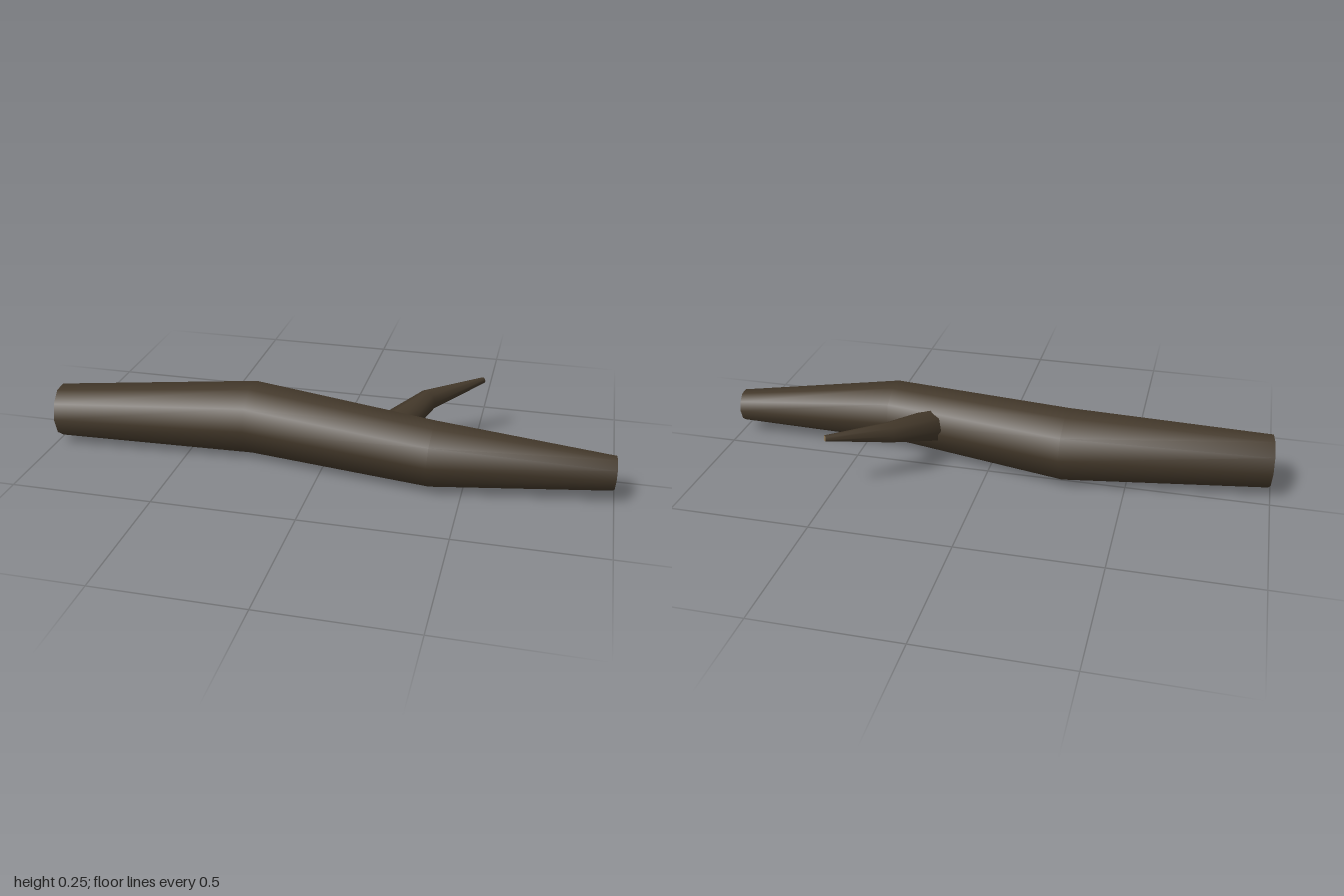
import * as THREE from 'three';

const UP = new THREE.Vector3(0, 1, 0);

// Rings of points along a bent path; each stop is [x, y, z, radius]
function makeRings(stops, sides) {
  const pts = stops.map(([x, y, z]) => new THREE.Vector3(x, y, z));
  const dirs = pts.slice(1).map((p, i) => p.clone().sub(pts[i]).normalize());
  return stops.map((stop, i) => {
    const t = new THREE.Vector3()
      .add(dirs[Math.max(i - 1, 0)])
      .add(dirs[Math.min(i, dirs.length - 1)])
      .normalize();
    const side = UP.clone().cross(t).normalize();
    const up = t.clone().cross(side);
    return Array.from({ length: sides }, (_, j) => {
      const a = (j / sides) * Math.PI * 2;
      return pts[i].clone()
        .addScaledVector(side, Math.cos(a) * stop[3])
        .addScaledVector(up, Math.sin(a) * stop[3]);
    });
  });
}

function build(points, index) {
  const g = new THREE.BufferGeometry().setFromPoints(points);
  g.setIndex(index);
  g.computeVertexNormals();
  return g;
}

// Smooth bark skin joining the rings
function skin(rings) {
  const n = rings[0].length;
  const index = [];
  for (let i = 0; i < rings.length - 1; i++) {
    for (let j = 0; j < n; j++) {
      const k = (j + 1) % n;
      const a = i * n + j, b = i * n + k, c = a + n, d = b + n;
      index.push(a, b, c, b, d, c);
    }
  }
  return build(rings.flat(), index);
}

// Flat cut face across one ring
function cutFace(ring, flip) {
  const index = [];
  for (let j = 1; j < ring.length - 1; j++) {
    index.push(0, ...(flip ? [j + 1, j] : [j, j + 1]));
  }
  return build(ring, index);
}

export function createModel() {
  const model = new THREE.Group();
  model.name = 'fallenLog';
  const bark = new THREE.MeshStandardMaterial({ name: 'bark', color: 0x43382a });
  const wood = new THREE.MeshStandardMaterial({ name: 'cutWood', color: 0x8a7759 });
  const add = (name, geometry, material) => {
    const mesh = new THREE.Mesh(geometry, material);
    mesh.name = name;
    model.add(mesh);
  };

  // Crooked trunk, thickest near the middle
  const trunk = makeRings([
    [-0.99, 0.111, 0.115, 0.095],
    [-0.275, 0.126, 0.043, 0.131],
    [0.392, 0.12, 0.166, 0.114],
    [0.994, 0.097, 0.119, 0.059],
  ], 10);
  add('trunk', skin(trunk), bark);
  add('trunkThickCut', cutFace(trunk[0], true), wood);
  add('trunkThinCut', cutFace(trunk[3], false), wood);

  // Side branch, bent once and rooted inside the trunk
  const branch = makeRings([
    [0.212, 0.13, 0.07, 0.064],
    [0.33, 0.185, -0.125, 0.038],
    [0.51, 0.217, -0.272, 0.011],
  ], 8);
  add('branch', skin(branch), bark);
  add('branchCut', cutFace(branch[2], false), wood);

  return model;
}
